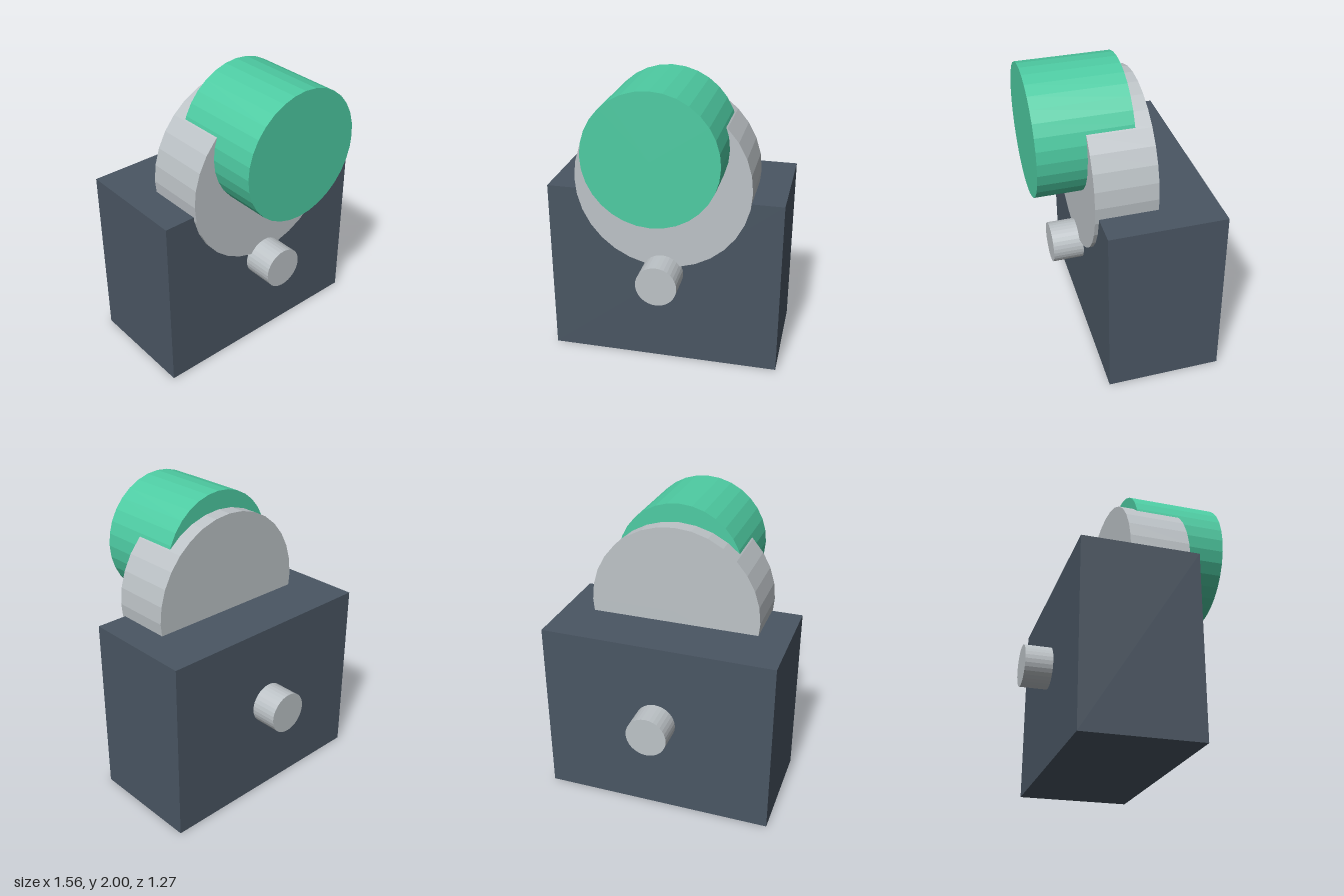
import * as THREE from 'three';

const material = (color) => new THREE.MeshStandardMaterial({ color, flatShading: true });

export function createModel() {
  const model = new THREE.Group();
  const dark = material(0x4a5663);
  const steel = material(0xbdc3c7);
  const green = material(0x4ecca3);

  const add = (name, geometry, mat, y, z) => {
    const mesh = new THREE.Mesh(geometry, mat);
    mesh.name = name;
    mesh.position.set(0, y, z);
    model.add(mesh);
  };

  // Solid cylinder lying along z between two depths
  const addRound = (name, radius, y, back, front, mat) => {
    const geometry = new THREE.CylinderGeometry(radius, radius, front - back, 32).rotateX(Math.PI / 2);
    add(name, geometry, mat, y, (front + back) / 2);
  };

  // Block body
  add('housing', new THREE.BoxGeometry(1.562, 1.215, 0.76), dark, 0.6075, -0.076);

  // Through shaft, wheel and offset drum
  addRound('shaft', 0.137, 0.662, -0.635, 0.51, steel);
  addRound('wheel', 0.58, 1.298, -0.076, 0.328, steel);
  addRound('drum', 0.428, 1.572, 0.028, 0.635, green);

  return model;
}
